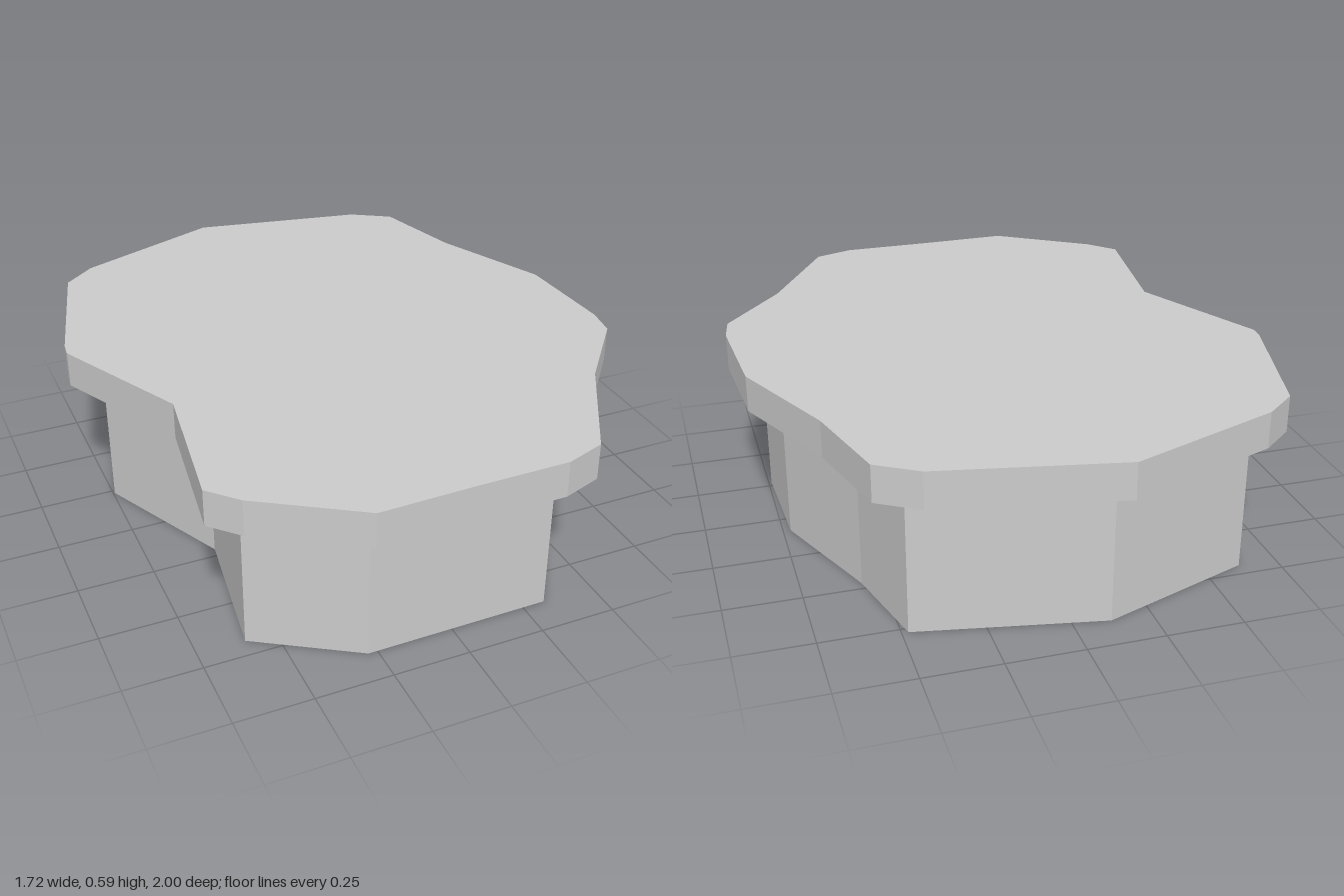
import * as THREE from 'three';

// Outlines as [x, z] corners seen from above
const baseOutline = [
  [-0.12, -0.88], [0.48, -0.77], [0.56, -0.47], [0.725, -0.08],
  [0.74, 0.275], [0.54, 0.52], [0.325, 0.88], [-0.28, 0.885],
  [-0.597, 0.685], [-0.531, 0.215], [-0.745, -0.235], [-0.622, -0.7],
];
const topOutline = [
  [-0.13, -1], [0.45, -0.89], [0.58, -0.81], [0.665, -0.5],
  [0.835, -0.12], [0.857, 0.235], [0.84, 0.34], [0.635, 0.585],
  [0.425, 0.945], [0.295, 0.99], [0, 0.992], [-0.315, 1],
  [-0.625, 0.8], [-0.71, 0.71], [-0.643, 0.235], [-0.861, -0.21],
  [-0.856, -0.26], [-0.73, -0.725], [-0.625, -0.812],
];

// Upright slab with a given outline, from y0 to y1
function slab(name, outline, y0, y1, material) {
  const shape = new THREE.Shape(outline.map(([x, z]) => new THREE.Vector2(x, -z)));
  const geometry = new THREE.ExtrudeGeometry(shape, { depth: y1 - y0, bevelEnabled: false });
  geometry.rotateX(-Math.PI / 2).translate(0, y0, 0);
  const mesh = new THREE.Mesh(geometry, material);
  mesh.name = name;
  return mesh;
}

export function createModel() {
  const material = new THREE.MeshStandardMaterial({ color: 0xcccccc, flatShading: true });
  const group = new THREE.Group();
  group.name = 'steppedPlatform';
  // Tall base with an overhanging top slab
  group.add(slab('base', baseOutline, 0, 0.475, material));
  group.add(slab('overhangingTop', topOutline, 0.475, 0.595, material));
  return group;
}
